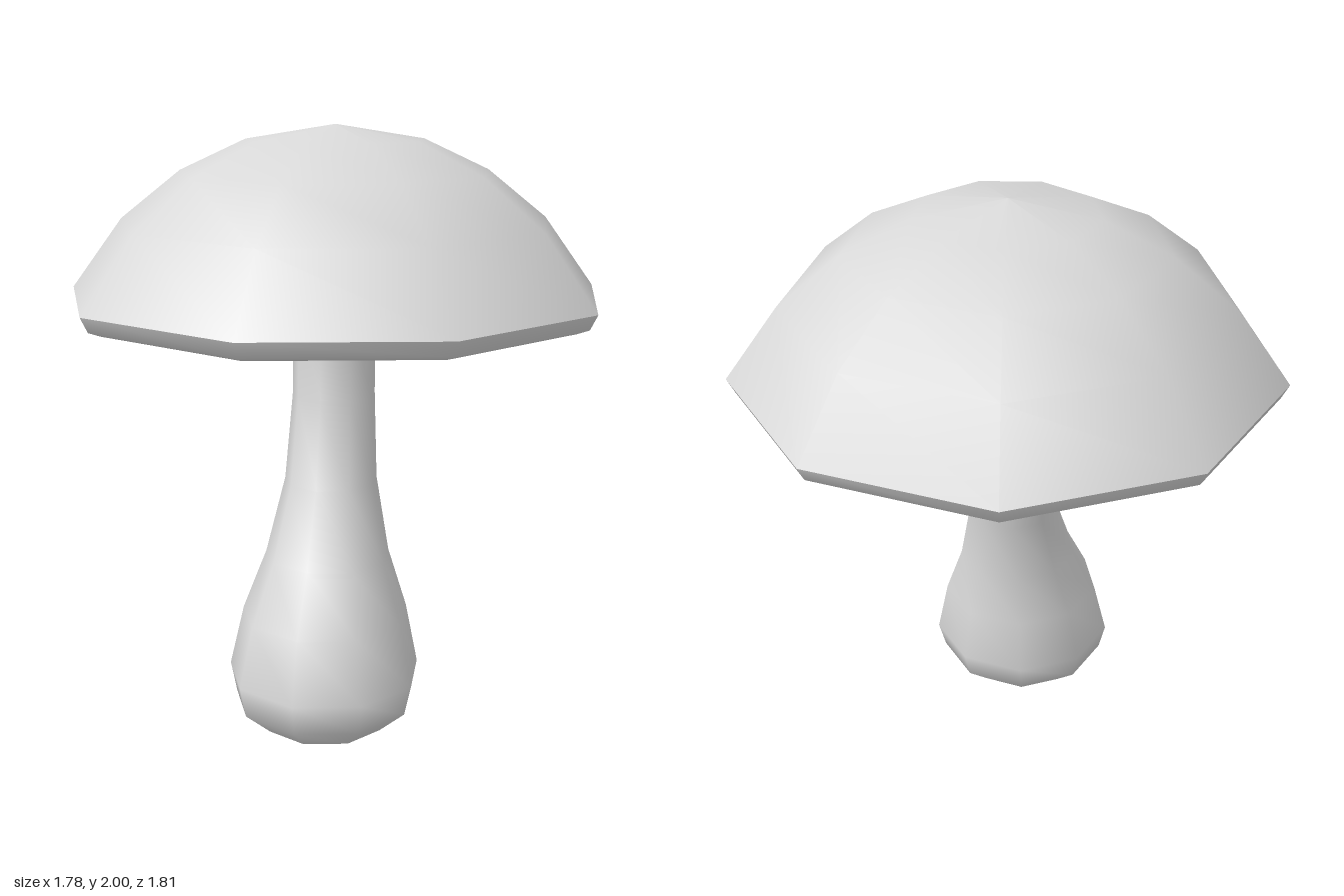
import * as THREE from 'three';
import { mergeVertices } from 'three/addons/utils/BufferGeometryUtils.js';

const SIDES = 9;
const CENTRE_X = 0.027;

// Nine-sided turned surface with one corner pointing to -x
function turned(profile) {
  return new THREE.LatheGeometry(profile.map(([r, y]) => new THREE.Vector2(r, y)), SIDES, -Math.PI / 2);
}

export function createModel() {
  const group = new THREE.Group();
  group.name = 'mushroom';
  const grey = new THREE.MeshStandardMaterial({ color: 0xd8d8d8, side: THREE.DoubleSide });
  grey.name = 'light grey';

  const add = (name, geometry) => {
    const mesh = new THREE.Mesh(geometry, grey);
    mesh.name = name;
    mesh.position.x = CENTRE_X;
    group.add(mesh);
  };

  // Cap: hollow dome with a rolled rim, sharp edge between them
  add('capDome', turned([[0.92, 1.44], [0.74, 1.68], [0.53, 1.845], [0.303, 1.95], [0, 2]]));
  add('capRim', turned([[0.8, 1.39], [0.855, 1.375], [0.895, 1.39], [0.92, 1.44]]));

  // Open, bent stalk rings: radius, height, forward offset of the centre
  const rings = [
    [0.214, 0, 0.26], [0.305, 0.08, 0.262], [0.328, 0.18, 0.253], [0.284, 0.38, 0.23],
    [0.213, 0.57, 0.175], [0.16, 0.81, 0.093], [0.143, 1.1, 0.025], [0.143, 1.38, 0.004], [0.168, 1.57, 0],
  ];
  let stalk = turned(rings);
  const p = stalk.attributes.position;
  for (let i = 0; i < p.count; i++) p.setZ(i, p.getZ(i) + rings[i % rings.length][2]);
  stalk.deleteAttribute('uv');
  stalk.deleteAttribute('normal');
  stalk = mergeVertices(stalk, 1e-4);
  stalk.computeVertexNormals();
  add('stalk', stalk);

  return group;
}
